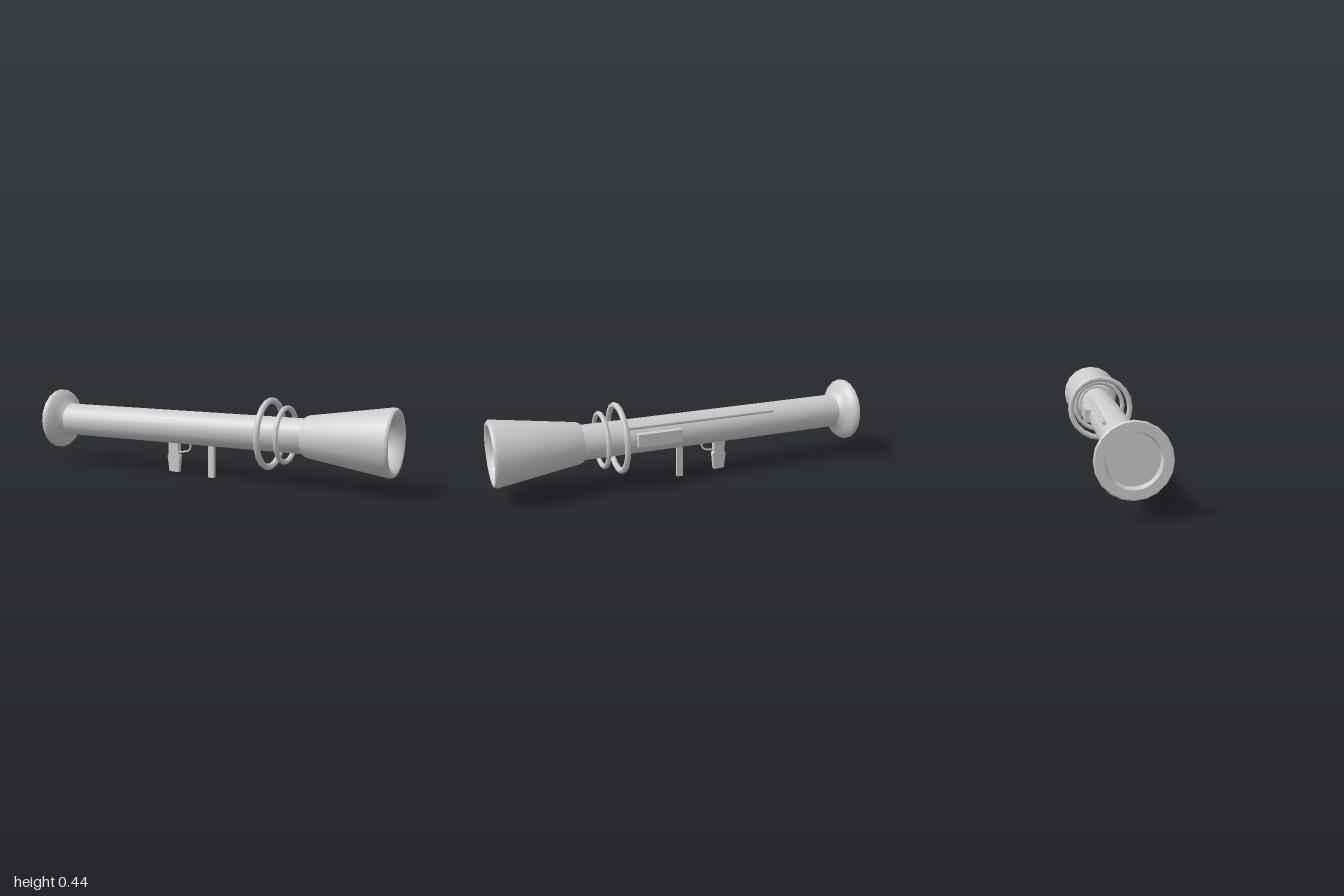
import * as THREE from 'three';
import { toCreasedNormals } from 'three/addons/utils/BufferGeometryUtils.js';

const AXIS_Y = 0.259;
const SIDES = 20;

export function createModel() {
  const model = new THREE.Group();
  const material = new THREE.MeshStandardMaterial({ color: 0xcccccc });

  function add(name, geometry, x = 0, y = 0, z = 0) {
    const mesh = new THREE.Mesh(geometry, material);
    mesh.name = name;
    mesh.position.set(x, y, z);
    model.add(mesh);
    return mesh;
  }

  // Turned part along x; profile is [radius, x] from rear to front
  function turned(name, profile) {
    const points = profile.map(([r, x]) => new THREE.Vector2(r, x));
    const geometry = new THREE.LatheGeometry(points, SIDES).rotateZ(-Math.PI / 2);
    add(name, toCreasedNormals(geometry, 0.65), 0, AXIS_Y, 0);
  }

  // Rear flare with its recessed end plate
  turned('rearFlare', [
    [0, -0.965], [0.115, -0.965], [0.122, -1], [0.163, -1], [0.168, -0.995],
    [0.168, -0.978], [0.158, -0.963], [0.125, -0.941], [0.1, -0.925], [0.088, -0.91],
  ]);

  turned('tube', [[0.09, -0.925], [0.09, 0.56]]);

  // Front bell: collar, cone, rounded lip and tapering bore
  turned('bell', [
    [0.085, 0.55], [0.102, 0.55], [0.107, 0.565], [0.168, 0.98], [0.168, 0.988],
    [0.16, 1], [0.146, 1], [0.132, 0.988], [0.12, 0.965], [0.112, 0.93],
    [0.054, 0.6], [0, 0.6],
  ]);

  // Rings standing clear of the tube
  for (const [name, x, outer, r] of [
    ['largeRing', 0.353, 0.186, 0.016],
    ['smallRing', 0.44, 0.15, 0.013],
  ]) {
    const ring = new THREE.TorusGeometry(outer - r, r, 8, SIDES).rotateY(Math.PI / 2);
    add(name, ring, x, AXIS_Y, 0);
  }

  // Rail and box on the back side
  add('sideRail', new THREE.CylinderGeometry(0.01, 0.01, 0.83, 8).rotateZ(Math.PI / 2),
    -0.087, AXIS_Y + 0.067, -0.069);
  add('sideBox', new THREE.BoxGeometry(0.235, 0.066, 0.04), 0.16, AXIS_Y + 0.008, -0.094);

  // Rear grip, flat-sided and slightly narrower toward the foot
  const outline = [
    [-0.245, 0.19], [-0.245, 0.11], [-0.253, 0.1], [-0.243, 0.014],
    [-0.186, 0.012], [-0.177, 0.1], [-0.184, 0.11], [-0.184, 0.19],
  ].map(([x, y]) => new THREE.Vector2(x, y));
  const grip = new THREE.ExtrudeGeometry(new THREE.Shape(outline), { depth: 1, bevelEnabled: false });
  const pos = grip.attributes.position;
  for (let i = 0; i < pos.count; i++) {
    const halfWidth = 0.0115 + 0.028 * pos.getY(i);
    pos.setZ(i, (pos.getZ(i) * 2 - 1) * halfWidth);
  }
  grip.computeVertexNormals();
  add('rearGrip', grip);

  // Trigger guard curving from the grip up to the tube
  const guard = new THREE.CatmullRomCurve3([
    [-0.19, 0.123], [-0.16, 0.125], [-0.13, 0.133], [-0.117, 0.15], [-0.115, 0.18],
  ].map(([x, y]) => new THREE.Vector3(x, y, 0)));
  add('triggerGuard', new THREE.TubeGeometry(guard, 14, 0.0055, 8));

  add('frontGrip', new THREE.BoxGeometry(0.034, 0.18, 0.02), 0.013, 0.09, 0);

  return model;
}
